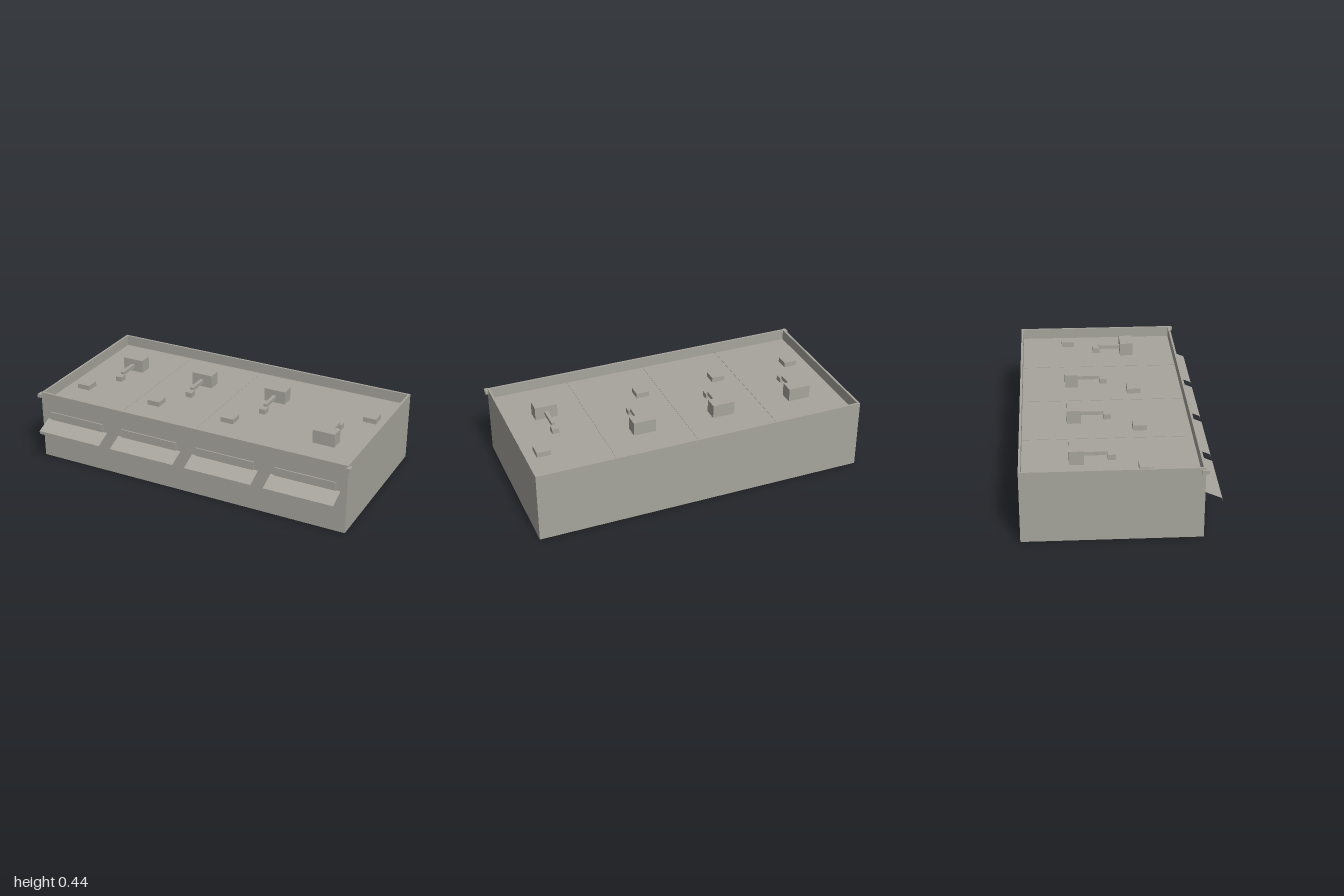
import * as THREE from 'three';

const W = 0.983, ZF = 0.443, ZB = -0.54; // half width, front and back walls
const TOP = 0.42, ROOF = 0.355, RIM = 0.013;
const ZC = (ZF + ZB) / 2, DEPTH = ZF - ZB, BAY = W / 2;

export function createModel() {
  const concrete = new THREE.MeshStandardMaterial({ color: 0xa6a49c, side: THREE.DoubleSide });
  concrete.name = 'grey concrete';
  const model = new THREE.Group();
  model.name = 'building';

  const add = (parent, name, geometry) => {
    const mesh = new THREE.Mesh(geometry, concrete);
    mesh.name = name;
    parent.add(mesh);
    return mesh;
  };
  // box given by its limits on each axis
  const block = (parent, name, x0, x1, y0, y1, z0, z1) => {
    const mesh = add(parent, name, new THREE.BoxGeometry(x1 - x0, y1 - y0, z1 - z0));
    mesh.position.set((x0 + x1) / 2, (y0 + y1) / 2, (z0 + z1) / 2);
    return mesh;
  };

  // thin outer walls, open underneath
  const wall = (name, width, x, z, turn) => {
    const mesh = add(model, name, new THREE.PlaneGeometry(width, ROOF));
    mesh.position.set(x, ROOF / 2, z);
    mesh.rotation.y = turn;
  };
  wall('frontWall', 2 * W, 0, ZF, 0);
  wall('backWall', 2 * W, 0, ZB, Math.PI);
  wall('leftWall', DEPTH, W, ZC, Math.PI / 2);
  wall('rightWall', DEPTH, -W, ZC, -Math.PI / 2);

  // parapet ring above the roof
  const rect = (Type, inset) => {
    const x = W - inset, a = -ZF + inset, b = -ZB - inset;
    return new Type([[-x, a], [x, a], [x, b], [-x, b]].map(p => new THREE.Vector2(...p)));
  };
  const ring = rect(THREE.Shape, 0);
  ring.holes.push(rect(THREE.Path, RIM));
  const parapet = add(model, 'parapet',
    new THREE.ExtrudeGeometry(ring, { depth: TOP - ROOF, bevelEnabled: false }));
  parapet.rotation.x = -Math.PI / 2;
  parapet.position.y = ROOF;

  // awning: sloping sheet with a short hanging lip
  const awningGeometry = (halfWidth) => {
    const profile = [[0.255, ZF], [0.213, 0.54], [0.195, 0.54]];
    const pos = [];
    for (let i = 0; i < 2; i++) {
      const [[y0, z0], [y1, z1]] = [profile[i], profile[i + 1]];
      const h = halfWidth;
      pos.push(-h, y0, z0, -h, y1, z1, h, y1, z1, -h, y0, z0, h, y1, z1, h, y0, z0);
    }
    const g = new THREE.BufferGeometry();
    g.setAttribute('position', new THREE.Float32BufferAttribute(pos, 3));
    g.computeVertexNormals();
    return g;
  };

  // four equal bays
  for (let i = 0; i < 4; i++) {
    const cx = -W + BAY * (i + 0.5);
    const bay = new THREE.Group();
    bay.name = 'bay' + (i + 1);
    bay.position.x = cx;
    model.add(bay);

    const panel = add(bay, 'roofPanel', new THREE.PlaneGeometry(BAY, DEPTH));
    panel.rotation.x = -Math.PI / 2;
    panel.position.set(0, ROOF, ZC);
    if (i > 0) block(model, 'roofSeam', cx - BAY / 2 - 0.002, cx - BAY / 2 + 0.002,
      ROOF - 0.002, ROOF + 0.002, ZB + RIM, ZF - RIM);

    add(bay, 'awning', awningGeometry(0.208));
    block(bay, 'windowHood', -0.182, 0.182, 0.255, 0.305, ZF - 0.002, 0.451);

    // roof equipment, turned half round on the last bay
    const equipment = new THREE.Group();
    equipment.name = 'roofEquipment';
    equipment.position.z = ZC;
    if (i === 3) equipment.rotation.y = Math.PI;
    bay.add(equipment);
    block(equipment, 'airUnit', -0.057, 0.077, ROOF, 0.435, -0.222, -0.142);
    block(equipment, 'duct', 0.0, 0.021, 0.38, 0.402, -0.144, -0.009);
    block(equipment, 'ductOutlet', -0.01, 0.031, ROOF, 0.386, -0.011, 0.033);
    block(equipment, 'vent', -0.161, -0.081, ROOF, 0.385, 0.149, 0.229);
  }

  // small spouts at the front corners
  for (const s of [-1, 1]) {
    const spout = block(model, 'cornerSpout', 0.978, 1.0, 0.39, 0.412, 0.422, 0.46);
    spout.position.x *= s;
  }
  return model;
}
